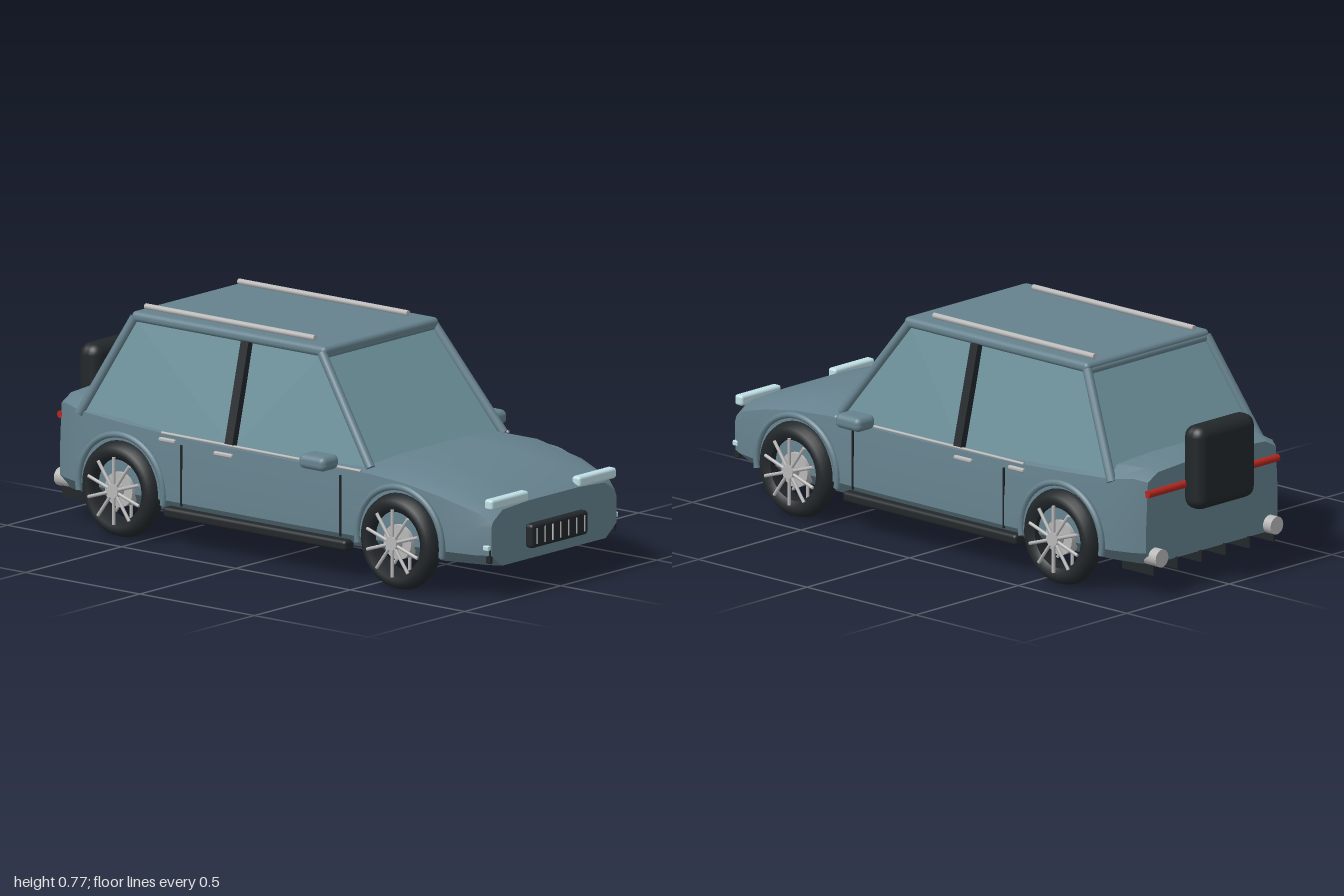
import * as THREE from 'three';
import { toCreasedNormals } from 'three/addons/utils/BufferGeometryUtils.js';
import { RoundedBoxGeometry } from 'three/addons/geometries/RoundedBoxGeometry.js';
import { ConvexGeometry } from 'three/addons/geometries/ConvexGeometry.js';

const V = (x, y, z) => new THREE.Vector3(x, y, z);
const mat = (color, side = THREE.FrontSide) => new THREE.MeshStandardMaterial({ color, side });
const paint = mat(0x66828e), glass = mat(0x6f949e), black = mat(0x22272a);
const silver = mat(0xb8b8b8), lamp = mat(0xbfdfe6), red = mat(0xb3261e);

// Closed skin over half sections [x, [z, y]...] running from bottom to top, mirrored in z
function loft(sections) {
  const rings = sections.map(([x, ...half]) => {
    const left = half.map(([z, y]) => V(x, y, z));
    const right = half.map(([z, y]) => V(x, y, -z)).reverse();
    return [...left, ...right];
  });
  const n = rings[0].length, pos = [];
  const tri = (...p) => p.forEach((v) => pos.push(v.x, v.y, v.z));
  for (let s = 0; s < rings.length - 1; s++) {
    for (let i = 0; i < n; i++) {
      const j = (i + 1) % n, a = rings[s], b = rings[s + 1];
      tri(a[i], b[i], b[j]);
      tri(a[i], b[j], a[j]);
    }
  }
  const first = rings[0], last = rings[rings.length - 1];
  for (let i = 1; i < n - 1; i++) {
    tri(first[0], first[i], first[i + 1]);
    tri(last[0], last[i + 1], last[i]);
  }
  const g = new THREE.BufferGeometry();
  g.setAttribute('position', new THREE.Float32BufferAttribute(pos, 3));
  return toCreasedNormals(g, 0.5);
}

export function createModel() {
  const car = new THREE.Group();
  car.name = 'car';
  const add = (name, geometry, material, x = 0, y = 0, z = 0, parent = car) => {
    const m = new THREE.Mesh(geometry, material);
    m.name = name;
    m.position.set(x, y, z);
    parent.add(m);
    return m;
  };
  const box = (name, material, size, at, r = 0.008) =>
    add(name, new RoundedBoxGeometry(...size, 3, r), material, ...at);
  const rod = (name, material, a, b, r, parent = car, sides = 12) => {
    const d = b.clone().sub(a);
    const m = add(name, new THREE.CylinderGeometry(r, r, d.length(), sides), material, 0, 0, 0, parent);
    m.position.copy(a).add(b).multiplyScalar(0.5);
    m.quaternion.setFromUnitVectors(V(0, 1, 0), d.normalize());
    return m;
  };

  // Lower body: x, half width, floor half width, shoulder height, top height
  const stations = [
    [-0.92, 0.32, 0.28, 0.40, 0.435],
    [-0.88, 0.345, 0.31, 0.41, 0.445],
    [-0.80, 0.372, 0.33, 0.40, 0.447],
    [-0.60, 0.388, 0.35, 0.39, 0.425],
    [-0.30, 0.392, 0.36, 0.375, 0.395],
    [0.20, 0.392, 0.36, 0.37, 0.385],
    [0.47, 0.388, 0.355, 0.375, 0.402],
    [0.63, 0.388, 0.35, 0.365, 0.402],
    [0.78, 0.38, 0.335, 0.34, 0.375],
    [0.92, 0.352, 0.295, 0.30, 0.338],
    [0.97, 0.325, 0.27, 0.27, 0.312],
  ];
  add('body', loft(stations.map(([x, w, f, sh, top]) => [x,
    [f, 0.112], [w, 0.155], [w, 0.25], [w * 0.975, sh], [w * 0.82, top - 0.008], [w * 0.4, top],
  ])), paint);

  // Cabin glass, roof and pillars
  const cabin = [];
  for (const s of [1, -1]) {
    cabin.push(V(0.2, 0.73, 0.288 * s), V(-0.62, 0.73, 0.288 * s), V(0.46, 0.37, 0.345 * s),
      V(-0.81, 0.37, 0.362 * s), V(-0.12, 0.37, 0.372 * s));
  }
  add('cabinGlass', new ConvexGeometry(cabin), glass);
  box('roof', paint, [0.85, 0.036, 0.6], [-0.205, 0.737, 0], 0.016);
  rod('windscreenHeader', paint, V(0.205, 0.727, -0.29), V(0.205, 0.727, 0.29), 0.014);
  rod('rearHeader', paint, V(-0.62, 0.727, -0.29), V(-0.62, 0.727, 0.29), 0.014);

  for (const s of [1, -1]) {
    const side = s > 0 ? 'left' : 'right';
    rod(side + 'FrontPillar', paint, V(0.2, 0.733, 0.29 * s), V(0.46, 0.385, 0.346 * s), 0.016);
    rod(side + 'RearPillar', paint, V(-0.62, 0.733, 0.29 * s), V(-0.8, 0.39, 0.362 * s), 0.016);
    const post = add(side + 'DoorPillar', new THREE.BoxGeometry(0.034, 0.35, 0.025), black, -0.12, 0.556, 0.342 * s);
    post.rotation.x = -s * Math.atan2(0.085, 0.34);
    rod(side + 'RoofRail', silver, V(-0.61, 0.765, 0.242 * s), V(0.13, 0.765, 0.242 * s), 0.01);
    box(side + 'Mirror', paint, [0.115, 0.05, 0.088], [0.31, 0.403, 0.438 * s], 0.02);

    // Door seams, belt trim, handles and sill
    for (const x of [-0.33, 0.365]) {
      add(side + 'DoorSeam', new THREE.BoxGeometry(0.006, 0.21, 0.006), black, x, 0.25, 0.391 * s);
    }
    rod(side + 'BeltTrim', silver, V(-0.42, 0.384, 0.386 * s), V(0.45, 0.38, 0.384 * s), 0.005);
    box(side + 'RearHandle', silver, [0.07, 0.014, 0.014], [-0.39, 0.363, 0.392 * s], 0.005);
    box(side + 'FrontHandle', silver, [0.08, 0.014, 0.014], [-0.145, 0.35, 0.392 * s], 0.005);
    box(side + 'Sill', black, [0.8, 0.038, 0.05], [0, 0.117, 0.382 * s], 0.012);

    // Lamps and tail pipes
    box(side + 'Headlight', lamp, [0.036, 0.037, 0.195], [0.955, 0.327, 0.228 * s], 0.01);
    box(side + 'FrontMarker', lamp, [0.024, 0.018, 0.024], [0.956, 0.181, 0.328 * s], 0.004);
    box(side + 'TowHook', black, [0.022, 0.05, 0.014], [0.958, 0.152, 0.322 * s], 0.004);
    rod(side + 'TailPipe', silver, V(-0.955, 0.137, 0.28 * s), V(-0.88, 0.137, 0.28 * s), 0.031, car, 20);
  }

  // Grille with upright bars
  box('grille', black, [0.035, 0.083, 0.294], [0.982, 0.193, 0], 0.012);
  for (let i = -3; i <= 3; i++) {
    add('grilleBar', new THREE.BoxGeometry(0.006, 0.055, 0.005), silver, 0.999, 0.193, i * 0.041);
  }

  // Tail: light bar, spare wheel cover and diffuser fins
  rod('tailLightBar', red, V(-0.922, 0.36, -0.318), V(-0.922, 0.36, 0.318), 0.013);
  box('spareWheelCover', black, [0.09, 0.29, 0.285], [-0.955, 0.42, 0], 0.038);
  for (let i = 0; i < 6; i++) {
    add('diffuserFin', new THREE.BoxGeometry(0.145, 0.04, 0.009), black, -0.858, 0.095, -0.292 + i * 0.117);
  }

  // Wheels: rounded tyre, brake disc, hub and two rows of spokes
  const tyreProfile = [[0.105, -0.026], [0.125, -0.038], [0.145, -0.036], [0.159, -0.02], [0.165, 0],
    [0.159, 0.02], [0.145, 0.036], [0.125, 0.038], [0.105, 0.026], [0.105, -0.026]];
  const tyre = new THREE.LatheGeometry(tyreProfile.map(([r, h]) => new THREE.Vector2(r, h)), 40).rotateX(Math.PI / 2);
  for (const s of [1, -1]) {
    for (const x of [-0.595, 0.623]) {
      const wheel = new THREE.Group();
      wheel.name = (s > 0 ? 'left' : 'right') + (x > 0 ? 'Front' : 'Rear') + 'Wheel';
      wheel.position.set(x, 0.165, 0.382 * s);
      car.add(wheel);
      add('tyre', tyre, black, 0, 0, 0, wheel);
      rod('brakeDisc', silver, V(0, 0, -0.02), V(0, 0, 0.02), 0.06, wheel, 32);
      rod('hub', silver, V(0, 0, -0.054), V(0, 0, 0.054), 0.024, wheel, 20);
      for (let i = 0; i < 10; i++) {
        const a = (i + 0.5) * Math.PI / 5, c = Math.cos(a), d = Math.sin(a);
        for (const z of [-0.046, 0.046]) {
          rod('spoke', silver, V(0, 0, z), V(c * 0.116, d * 0.116, z), 0.006, wheel, 8);
        }
      }
      // Wheel arch lip
      add('wheelArch', new THREE.TorusGeometry(0.186, 0.011, 8, 40, Math.PI * 1.1).rotateZ(-Math.PI * 0.05),
        paint, x, 0.165, 0.39 * s);
    }
  }
  return car;
}
